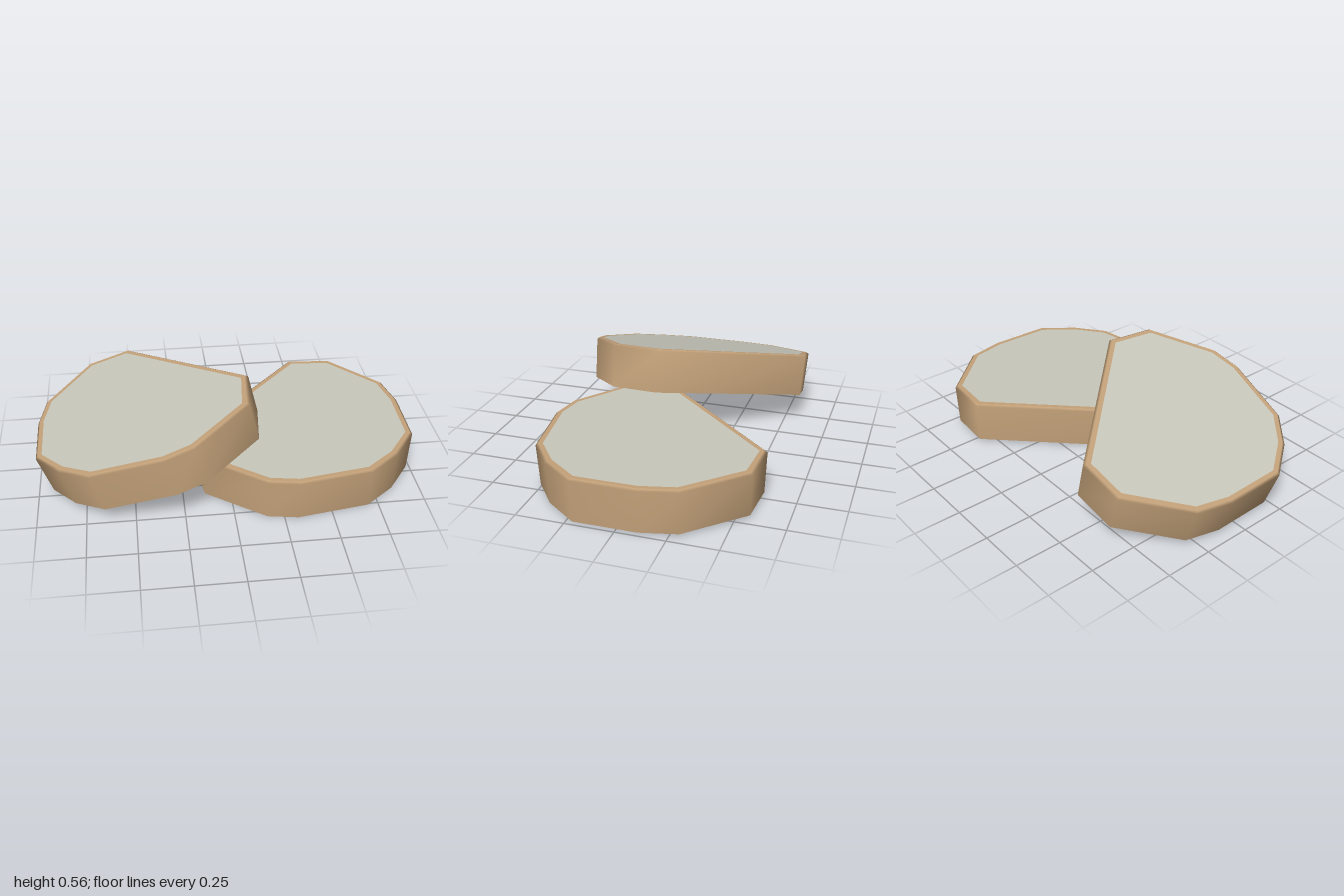
import * as THREE from 'three';

const tan = new THREE.MeshStandardMaterial({ color: 0xc4a27a });
tan.name = 'tan crust';
const grey = new THREE.MeshStandardMaterial({ color: 0xc9c8bc });
grey.name = 'pale grey face';

// Slab outline seen from above as [x, z], clockwise on the plan
const OUTLINE = [
  [-0.175, 0.07], [0.46, -0.592], [0.70, -0.575], [0.955, -0.30], [0.995, -0.11], [0.99, 0.22],
  [0.86, 0.395], [0.70, 0.52], [0.32, 0.58], [0.16, 0.553], [-0.145, 0.33],
];
const HEIGHT = 0.229;

// Outline moved inwards by d, at height y
function ring(points, d, y) {
  const n = points.length;
  const normal = (a, b) => new THREE.Vector2(a[1] - b[1], b[0] - a[0]).normalize();
  return points.map((p, i) => {
    const n1 = normal(points[(i + n - 1) % n], p);
    const n2 = normal(p, points[(i + 1) % n]);
    const m = n1.clone().add(n2).multiplyScalar(d / (1 + n1.dot(n2)));
    return new THREE.Vector3(p[0] + m.x, y, p[1] + m.y);
  });
}

// Closed band through a stack of rings
function band(rings) {
  const n = rings[0].length;
  const geo = new THREE.BufferGeometry().setFromPoints(rings.flat());
  const index = [];
  for (let r = 0; r < rings.length - 1; r++) {
    for (let i = 0; i < n; i++) {
      const a = r * n + i, b = r * n + (i + 1) % n;
      index.push(a, a + n, b, b, a + n, b + n);
    }
  }
  geo.setIndex(index);
  geo.computeVertexNormals();
  return geo;
}

// Flat convex face filling a ring
function face(points, up) {
  const geo = new THREE.BufferGeometry().setFromPoints(points);
  const index = [];
  for (let i = 1; i < points.length - 1; i++) {
    index.push(0, ...(up ? [i + 1, i] : [i, i + 1]));
  }
  geo.setIndex(index);
  geo.computeVertexNormals();
  return geo;
}

function makeSlab(name, points) {
  const slab = new THREE.Group();
  slab.name = name;
  const add = (part, geo, mat) => {
    const mesh = new THREE.Mesh(geo, mat);
    mesh.name = part;
    slab.add(mesh);
  };
  const base = ring(points, 0.01, 0);
  const shoulder = ring(points, 0, HEIGHT - 0.01);
  const lip = ring(points, 0.012, HEIGHT);
  const inner = ring(points, 0.035, HEIGHT);
  add('side', band([base, shoulder, lip]), tan);
  add('rim', band([lip, inner]), tan);
  add('topFace', face(inner, true), grey);
  add('bottomFace', face(base, false), grey);
  return slab;
}

export function createModel() {
  const model = new THREE.Group();
  model.name = 'stackedSlabs';

  // Lower slab lying almost flat
  const lower = makeSlab('lowerSlab', OUTLINE);
  lower.rotation.x = 0.013;
  lower.position.y = 0.009;

  // Mirrored slab leaning on the lower one
  const upper = makeSlab('leaningSlab', OUTLINE.map(([x, z]) => [-x, z]).reverse());
  upper.rotation.z = 0.29;
  upper.position.set(0.016, 0.295, 0);

  model.add(lower, upper);
  return model;
}
